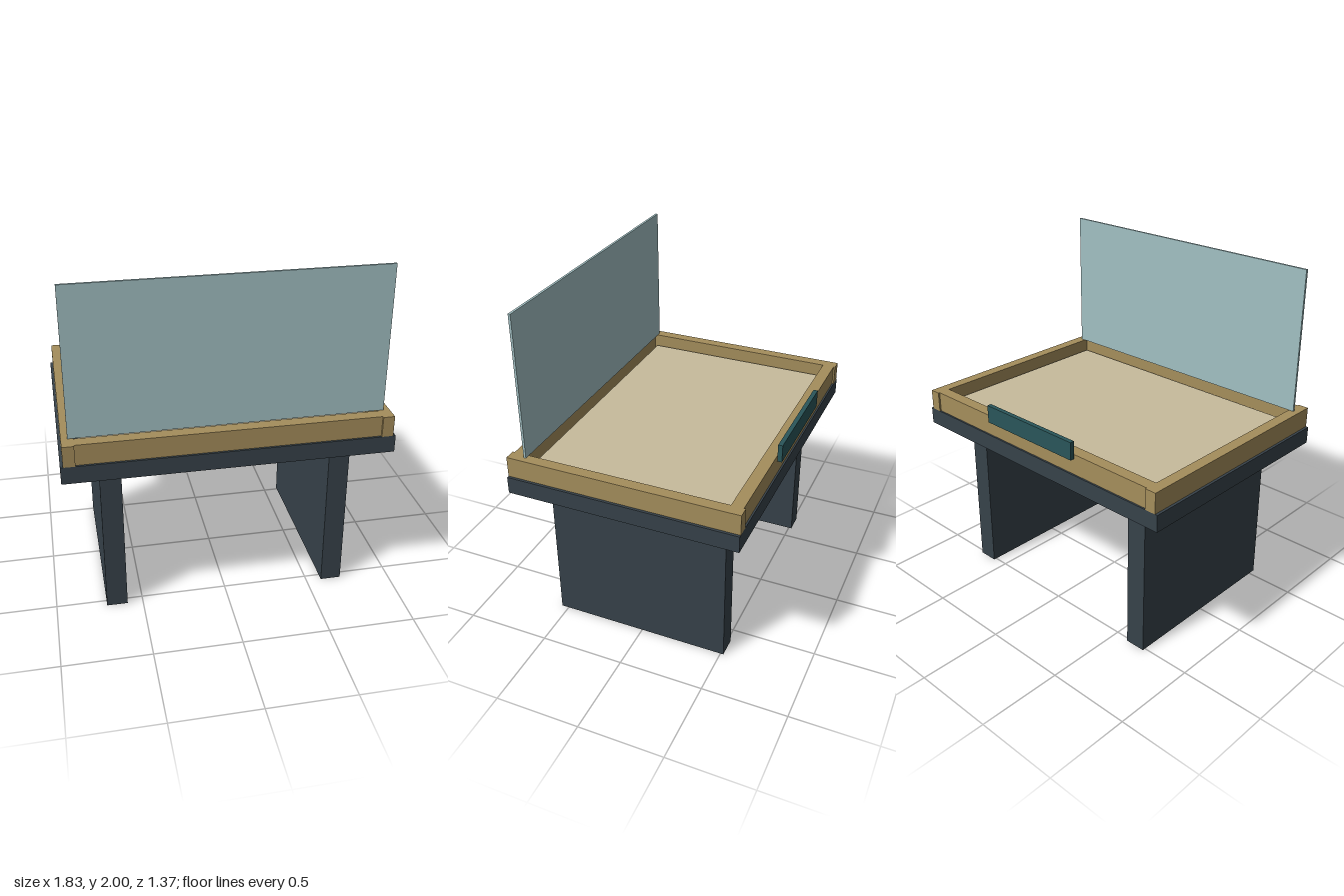
import * as THREE from 'three';

const material = (name, color) => {
  const m = new THREE.MeshStandardMaterial({ color });
  m.name = name;
  return m;
};

export function createModel() {
  const model = new THREE.Group();
  model.name = 'sandTable';
  const slate = material('dark slate', 0x37424a);
  const wood = material('oak wood', 0xa58e5c);
  const sand = material('pale sand', 0xc7bb9c);
  const glass = material('pale blue glass', 0xa2c0c3);
  const teal = material('deep teal', 0x2a565a);

  // Box given by its extents along each axis
  const box = (name, mat, [x0, x1], [y0, y1], [z0, z1]) => {
    const mesh = new THREE.Mesh(new THREE.BoxGeometry(x1 - x0, y1 - y0, z1 - z0), mat);
    mesh.position.set((x0 + x1) / 2, (y0 + y1) / 2, (z0 + z1) / 2);
    mesh.name = name;
    model.add(mesh);
  };

  // Table top
  box('tableTop', slate, [-0.915, 0.915], [0.94, 1.04], [-0.663, 0.687]);

  // Slab legs and side rails, mirrored
  for (const [side, s] of [['left', 1], ['right', -1]]) {
    const span = (a, b) => (s > 0 ? [a, b] : [-b, -a]);
    box(side + 'Leg', slate, span(0.59, 0.71), [0, 0.94], [-0.518, 0.545]);
    box(side + 'Rail', wood, span(0.835, 0.9), [1.04, 1.16], [-0.663, 0.687]);
  }

  // Front and back rails, set slightly in from the edge
  box('frontRail', wood, [-0.835, 0.835], [1.04, 1.16], [0.605, 0.675]);
  box('backRail', wood, [-0.835, 0.835], [1.04, 1.16], [-0.653, -0.583]);

  // Sand bed with a gap around it
  box('sandBed', sand, [-0.808, 0.808], [1.04, 1.095], [-0.557, 0.577]);

  // Upright screen at the front and sign plate at the back
  box('screen', glass, [-0.865, 0.865], [1.16, 2], [0.586, 0.6]);
  box('signPlate', teal, [-0.335, 0.335], [1.14, 1.245], [-0.687, -0.661]);

  return model;
}
